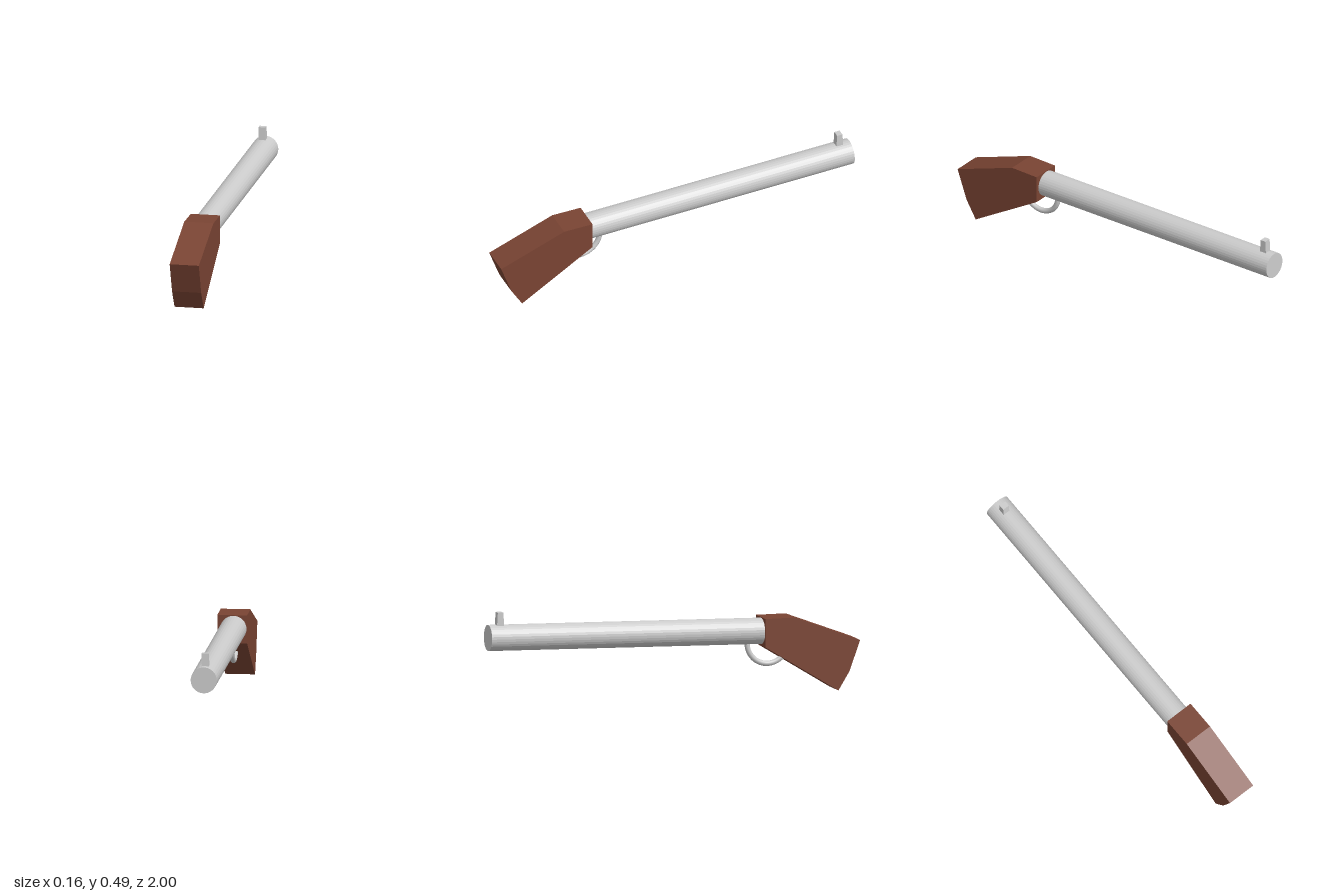
import * as THREE from 'three';

const grey = new THREE.MeshStandardMaterial({ color: 0xcccccc });
const greyFlat = new THREE.MeshStandardMaterial({ color: 0xcccccc, flatShading: true });
const wood = new THREE.MeshStandardMaterial({ color: 0x7a4433, flatShading: true });

const WIDTH = 0.154;

function addPart(group, name, geometry, material, x, y, z) {
  const mesh = new THREE.Mesh(geometry, material);
  mesh.name = name;
  mesh.position.set(x, y, z);
  group.add(mesh);
  return mesh;
}

export function createModel() {
  const group = new THREE.Group();
  group.name = 'longGun';
  group.rotation.y = 0.007; // very slight yaw of the whole piece

  // Stock: side profile given as (z, y), extruded across the width
  const profile = [[1, 0.26], [0.645, 0.394], [0.485, 0.394], [0.485, 0.246], [0.882, 0.002], [0.942, 0.1]];
  const stock = new THREE.ExtrudeGeometry(
    new THREE.Shape(profile.map(([z, y]) => new THREE.Vector2(z, y))),
    { depth: WIDTH, bevelEnabled: false });
  stock.translate(0, 0, -WIDTH / 2).rotateY(-Math.PI / 2);
  addPart(group, 'stock', stock, wood, -0.003, 0, 0);

  // Barrel: closed cylinder rising slightly towards the muzzle
  const barrel = new THREE.CylinderGeometry(0.068, 0.068, 1.486, 32).rotateX(Math.PI / 2);
  addPart(group, 'barrel', barrel, greyFlat, -0.009, 0.34, -0.257).rotation.x = 0.023;

  // Trigger guard: lower half ring, its ends sunk in barrel and stock
  const guard = new THREE.TorusGeometry(0.111, 0.014, 12, 40, Math.PI);
  guard.rotateZ(Math.PI).rotateY(-Math.PI / 2);
  addPart(group, 'triggerGuard', guard, grey, -0.008, 0.262, 0.52);

  // Front sight: small post narrowing upwards along the barrel
  const sight = new THREE.BoxGeometry(0.037, 0.08, 0.04);
  const p = sight.attributes.position;
  for (let i = 0; i < p.count; i++) if (p.getY(i) > 0) p.setZ(i, p.getZ(i) * 0.75);
  addPart(group, 'frontSight', sight, greyFlat, -0.011, 0.449, -0.938);

  return group;
}
